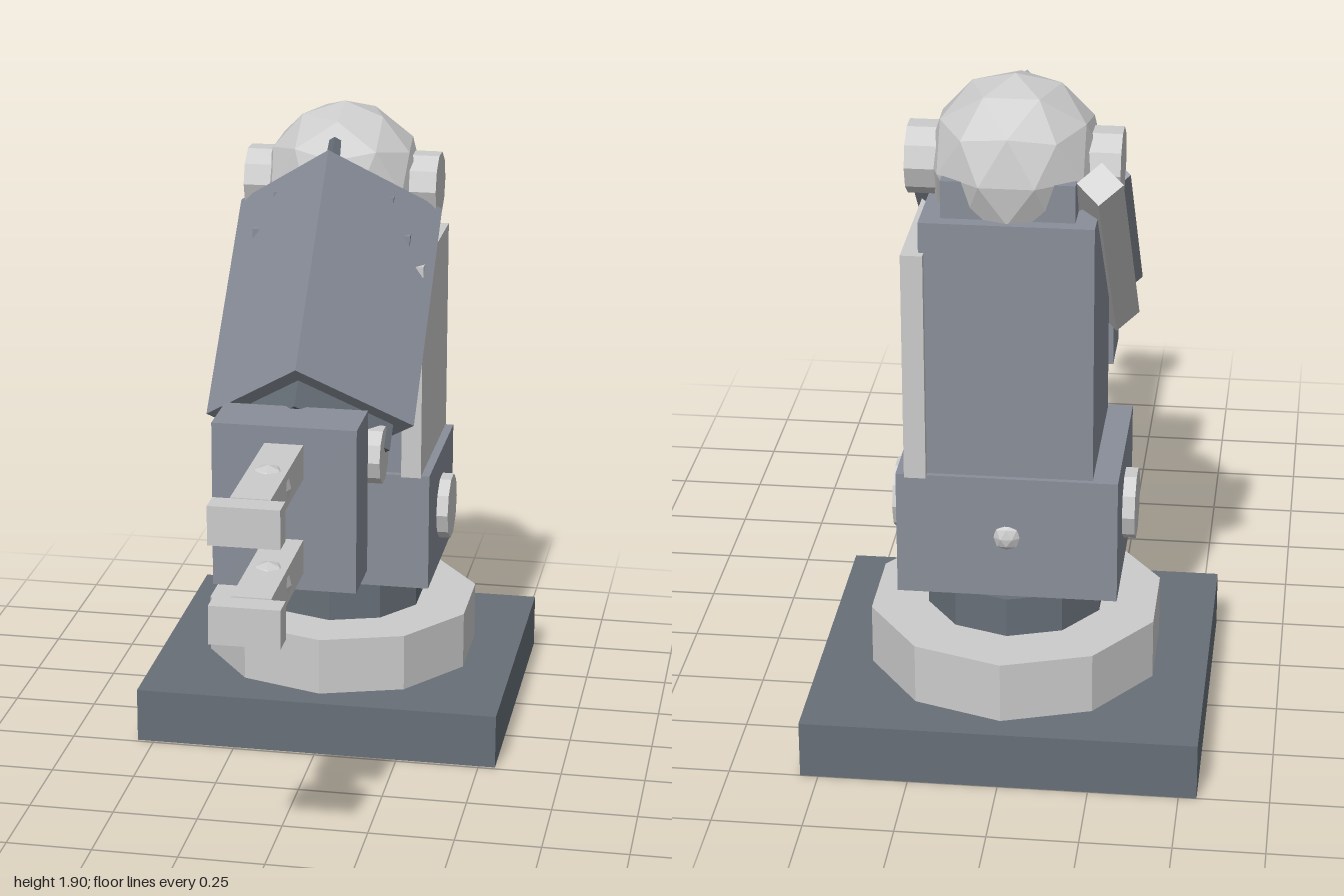
import * as THREE from 'three';

const mat = (color) => new THREE.MeshStandardMaterial({ color, flatShading: true });

export function createModel() {
  const root = new THREE.Group();
  const light = mat(0xcccccc), mid = mat(0x898e99), dark = mat(0x676f77);
  const axisZ = -0.505; // vertical axis of the base and column

  function add(name, geometry, material, x, y, z, parent = root) {
    const mesh = new THREE.Mesh(geometry, material);
    mesh.name = name;
    mesh.position.set(x, y, z);
    parent.add(mesh);
    return mesh;
  }
  // Box given by its lower and upper bounds
  function box(name, material, [x0, x1], [y0, y1], [z0, z1]) {
    return add(name, new THREE.BoxGeometry(x1 - x0, y1 - y0, z1 - z0), material,
      (x0 + x1) / 2, (y0 + y1) / 2, (z0 + z1) / 2);
  }
  const prism = (r, h, sides = 10) => new THREE.CylinderGeometry(r, r, h, sides);
  // Faceted ball with one vertex pointing up
  const ball = (r, detail = 1) => new THREE.IcosahedronGeometry(r, detail)
    .rotateX(-Math.atan((1 + Math.sqrt(5)) / 2));
  // Pair of hubs on both sides, from x0 outwards to x1
  function hubs(name, r, x0, x1, y, z) {
    for (const side of [-1, 1]) {
      add(name, prism(r, x1 - x0).rotateZ(Math.PI / 2), light, side * (x0 + x1) / 2, y, z);
    }
  }

  // Base and turntable
  box('basePlate', dark, [-0.55, 0.55], [0, 0.165], [-1, -0.01]);
  add('turntable', prism(0.42, 0.175), light, 0, 0.2525, axisZ);
  add('neck', prism(0.255, 0.115), dark, 0, 0.3975, axisZ);
  add('neckBearing', prism(0.18, 0.03), dark, 0, 0.465, axisZ);

  // Lower housing with side hubs and front and rear bolts
  box('lowerHousing', mid, [-0.305, 0.305], [0.465, 0.825], [-0.755, -0.25]);
  hubs('housingHub', 0.1, 0.28, 0.34, 0.645, axisZ);
  for (const z of [-0.285, -0.72]) add('housingBolt', ball(0.052), light, 0, 0.645, z);

  // Column, side panel and collar
  box('column', mid, [-0.235, 0.235], [0.82, 1.56], [-0.74, -0.27]);
  box('sidePanel', light, [0.22, 0.28], [0.82, 1.475], [-0.765, -0.245]);
  box('collar', mid, [-0.18, 0.18], [1.56, 1.665], [-0.7, -0.31]);

  // Shoulder joint
  add('shoulderBall', ball(0.242), light, 0, 1.663, axisZ);
  hubs('shoulderHub', 0.1, 0.15, 0.29, 1.66, axisZ);

  // Arm: square prisms on edge, sloping down to the front
  const arm = new THREE.Group();
  arm.name = 'arm';
  arm.position.set(0, 1.347, -0.186);
  arm.rotation.x = -Math.PI / 4;
  root.add(arm);
  add('armShell', prism(0.305, 0.725, 4), mid, 0, 0, 0, arm);
  add('armCore', prism(0.245, 0.89, 4), dark, 0, 0, 0, arm);
  add('armRod', prism(0.062, 0.9, 4), light, -0.245, 0.15, -0.135, arm);

  // Wrist joint
  add('wristBall', ball(0.18), light, 0, 1.02, 0.135);
  hubs('wristHub', 0.083, 0.1, 0.23, 1.02, 0.135);
  add('wristMount', prism(0.17, 0.15).rotateX(Math.PI / 2), mid, 0, 0.96, 0.2);

  // Gripper with two jointed fingers
  box('gripperBlock', mid, [-0.205, 0.205], [0.715, 1.195], [0.27, 0.455]);
  for (const y of [0.815, 1.095]) {
    box('finger', light, [-0.055, 0.055], [y - 0.05, y + 0.05], [0.44, 0.91]);
    add('fingerJoint', ball(0.064), light, 0, y, 0.675);
    box('fingerTip', light, [-0.098, 0.098], [y - 0.055, y + 0.055], [0.93, 1]);
  }
  return root;
}
